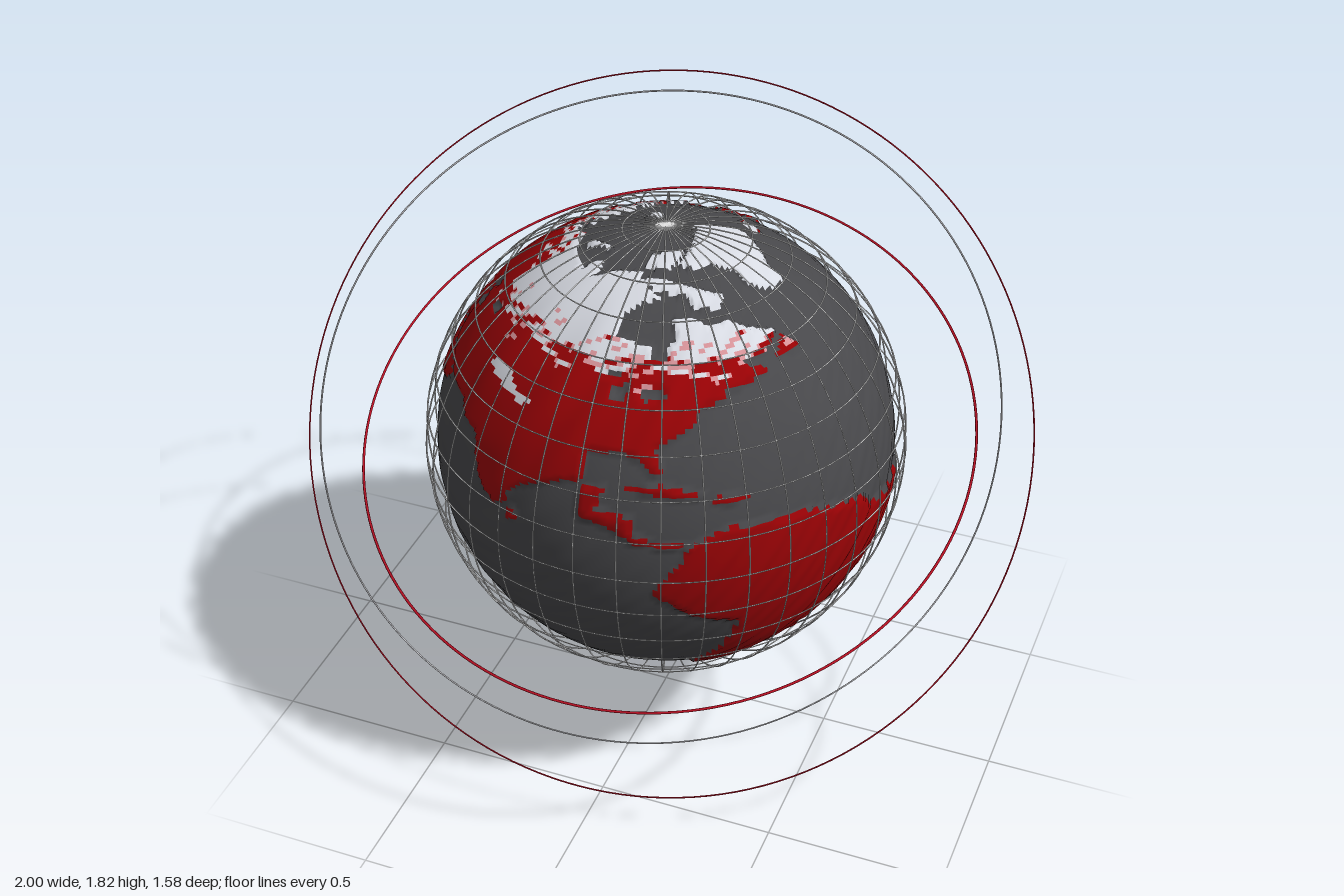
import * as THREE from 'three';

const CENTER_Y = 0.915, OCEAN_R = 0.634, LAND_R = 0.642, CAGE_R = 0.666;
const mat = (name, color) => Object.assign(new THREE.MeshStandardMaterial({ color }), { name });

// Coastlines as lon, lat pairs; the half map from -90 to 90 degrees wraps the whole globe
const LAND = {
  northAmerica: [-91,72,-85,70,-81,68,-86,66,-91,62,-91,57,-85,55.5,-82,55,-82,52,-79,51.5,-79,55,-77,57,-78,62,
    -73,62,-69,59,-65,60,-62,57,-56,53,-60,50,-66,50,-65,48,-61,46,-66,44,-70,43.5,-70,41.5,-74,40.5,-76,36,
    -81,31.5,-80,26,-81,25.5,-83,29,-85,30,-91,29.5],
  centralAmerica: [-91,14,-91,18.5,-90,21,-87,21.5,-88,16,-83.5,15,-83.5,11,-81,9,-77.5,8.5,-78,7.3,-83,8.3,
    -86,11.5,-88,13],
  baffin: [-90,73,-80,73.5,-72,71,-62,66.5,-65,63,-72,64.5,-73,68,-82,70,-89,71],
  ellesmere: [-90,77,-80,76,-70,79.5,-62,82.5,-75,83,-90,81.5],
  newfoundland: [-59,47.7,-53,46.8,-55.5,51.3],
  cuba: [-84.5,22,-80,23.2,-74.5,20.3,-77.5,19.8],
  hispaniola: [-74,18.3,-73,19.8,-68.5,18.5,-71,17.8],
  southAmerica: [-77,8,-72,12,-62,10.7,-52,5,-50,0,-44,-2.5,-37,-4.5,-35,-7,-39,-13,-39,-18,-41,-22,-48,-26,
    -49,-29,-54,-34.5,-58,-34.5,-57,-37.5,-62,-39,-65,-42,-66,-46,-68,-50,-68.5,-53,-65,-55,-71,-54.5,-75,-50,
    -74,-42,-73,-37,-71.5,-30,-70.3,-18,-76,-14,-81,-6,-80,-2,-77.5,4],
  africa: [-6,35.8,10,37.3,11,33.5,19,30.3,22,32.8,32,31.2,32.5,29.8,35.5,24,37.3,20.5,39,15.5,43,11.8,51.2,12,
    46,3,40,-3,39,-7,40.5,-15,35,-20,35.5,-24,32.8,-26,32,-29,27,-33.7,20,-34.8,18,-32,15,-27,11.8,-17,13.5,-9,
    9,-1,9.5,4,4.5,6.3,-2,4.8,-7.5,4.4,-13,8.5,-17,14.5,-16.5,20,-13,27.5,-9.5,30.5],
  madagascar: [44,-25,43.5,-17,49.3,-12,50.3,-16,47,-25],
  // Europe and north Asia, down to the 43rd parallel
  northEurasia: [-9,43,-1.5,43.5,-1.5,46.5,-4.7,48.4,1.5,50,4,52,8.5,54,8,57,10.5,57.5,10.5,54.3,19,54.5,21.5,57,
    24,58,23.5,59.3,30,60,22,60.3,21.5,63,25.5,65,22,65.8,17.5,62,18.5,60,16.5,56.5,13,55.5,11,59,5.5,58.8,5,62,
    13,66,19,70,28,71,41,67.5,33,66.7,38,64.3,44,66.5,44,68.5,54,68.5,60,69,68,68.5,67,71.5,70,73,73,71,73,68,
    78,72.3,81,73.5,91,75.5,91,43,40,43,37.5,44.7,39,47.2,34.5,46,33.5,44.5,30.5,46.2,28,43,16,43,13.5,45.5,
    12.3,45,13.5,43],
  iberia: [-9,43,-9.3,40,-9,37,-5.5,36,-2,36.8,-0.5,38,0,40,3.5,43,3,44,-2,44],
  italy: [8.5,44.3,10.5,43,12.5,41.5,15.6,40,16,38,17,39.5,18.4,40,14,42.3,13.5,43.2],
  balkans: [15,43.5,19,42,19.5,40,22.5,36.5,24,38,23,40.3,26,40.8,28.5,41.3,28,43.5],
  southAsia: [40,43.2,91,43.2,91,22.5,87,21,82,16.5,80,13,79.5,10,77.5,8,75,12,73,17,72.5,21,69,22.3,66.5,25,
    57.3,25.7,56,27,50.5,30,48,30,50,26.5,54,24.2,56.2,26,59.8,22.5,55,17.5,45,12.8,42.5,16.5,39,21.5,34.8,28.3,
    34.5,31.3,36,36,30.5,36.5,27.3,37,26.3,40,29,41.2,35,42,41.5,41.5],
  sriLanka: [79.8,6,81.8,7,80.2,9.6],
  britain: [-5,50,1,51,0,53,-2,56,-2,57.5,-4,58.5,-6,56.5,-3,54,-4.5,52.5],
  ireland: [-10,52,-6.5,52.2,-6,54.5,-8,55.2,-10,54],
  iceland: [-22,64,-18,63.5,-14,65,-16,66.4,-23,66],
};
const ICE = {
  greenland: [-73,78,-60,82,-35,83.5,-15,81.5,-20,76,-22,70.5,-32,68,-40,65,-43,60,-49,61.5,-53,66,-51,70,
    -57,75.5,-68,76],
  svalbard: [12,78,17,76.7,26,80,12,79.8],
  novayaZemlya: [52,71,57,71,60,75,68,76.8,60,76.3,54,73.5],
  pamir: [69,37.5,73,35.5,78,34,80,35.5,75,37,74,39.5,70,39.5],
  caucasus: [39,39.5,43,38,47,36.5,47,38.5,45,41,41,41.5],
  antarctica: [-91,-73,-75,-73,-67,-68,-58,-64,-62,-68,-62,-74,-50,-77.5,-35,-78,-20,-74,-5,-71.5,15,-70.5,
    35,-69.5,50,-67.5,70,-69.5,73,-71,80,-68,91,-67.5,91,-91,-91,-91],
};
const SEAS = {
  caspian: [47,45,51,47,53,45,51,43,53.5,40,54,37,50,37.3,49,41],
  aral: [58.5,44,61,44,61,46.5,58.5,46],
  westLakes: [-88,42,-86,42,-85,46,-88,45],
  northLake: [-91,46.8,-85,46.8,-88,48.5],
  eastLakes: [-83,42,-79,43,-80,45.5,-84,45.5],
};

const inside = (p, x, y) => {
  let hit = false;
  for (let i = 0, j = p.length - 2; i < p.length; j = i, i += 2) {
    if ((p[i + 1] > y) !== (p[j + 1] > y) &&
      x < (p[j] - p[i]) * (y - p[i + 1]) / (p[j + 1] - p[i + 1]) + p[i]) hit = !hit;
  }
  return hit;
};
const inAny = (set, x, y) => Object.values(set).some(p => inside(p, x, y));

// Smooth rolling noise, roughly -1 to 1
const noise = (x, y) => (Math.sin(x * 0.9 + 2 * Math.sin(y * 0.6)) + Math.sin(y * 1.1 + 2 * Math.sin(x * 0.45))
  + Math.sin(x * 2.1 - y * 1.7)) / 3;

// Surface class: 0 ocean, 1 land, 2 snow, 3 thin snow
function surfaceAt(lon, lat) {
  if (inAny(ICE, lon, lat)) return 2;
  if (!inAny(LAND, lon, lat) || inAny(SEAS, lon, lat)) return 0;
  // Snow line and width of the thin snow, by region
  const [line, rim] = lon < -50 ? [49.5, 2.5] : lon < 20 ? [61, 1] : lon < 56 ? [62, 1] : [49.5, 1.2];
  const depth = lat - line + 7 * noise(lon * 0.55, lat * 1.1);
  return depth > rim ? 2 : depth > 0 ? 3 : 1;
}

// Globe surface: one relief grid, split into a mesh for each kind of surface
function buildGlobe(materials) {
  const W = 300, H = 160, pos = [], index = [[], [], [], []];
  for (let j = 0; j <= H; j++) {
    for (let i = 0; i < W; i++) {
      const lat = -90 + 180 * j / H, lon = -90 + 180 * i / W;
      const a = i / W * Math.PI * 2, b = lat * Math.PI / 180;
      const land = surfaceAt(lon, lat) > 0;
      const fade = Math.cos(b);
      const bump = noise(Math.cos(a) * fade * 24 + lat * 0.2, Math.sin(a) * fade * 24 - lat * 0.23);
      const r = (land ? LAND_R : OCEAN_R) + bump * (land ? 0.005 : 0.0025) * fade;
      pos.push(r * fade * Math.sin(a), r * Math.sin(b), r * fade * Math.cos(a));
    }
  }
  for (let j = 0; j < H; j++) {
    for (let i = 0; i < W; i++) {
      const kind = surfaceAt(-90 + 180 * (i + 0.5) / W, -90 + 180 * (j + 0.5) / H);
      const k = (i + 1) % W, a = j * W + i, b = j * W + k, c = b + W, d = a + W;
      index[kind].push(a, b, c, a, c, d);
    }
  }
  const whole = new THREE.BufferGeometry();
  whole.setAttribute('position', new THREE.Float32BufferAttribute(pos, 3));
  whole.setIndex(index.flat());
  whole.computeVertexNormals();
  const globe = new THREE.Group();
  globe.name = 'globe';
  ['ocean', 'land', 'snow', 'thinSnow'].forEach((name, n) => {
    const g = new THREE.BufferGeometry();
    g.setAttribute('position', whole.attributes.position);
    g.setAttribute('normal', whole.attributes.normal);
    g.setIndex(index[n]);
    const mesh = new THREE.Mesh(g, materials[n]);
    mesh.name = name;
    globe.add(mesh);
  });
  return globe;
}

// Wire cage of meridians and parallels, ten degrees apart
function buildCage(material) {
  const cage = new THREE.Group(), wire = 0.0022;
  cage.name = 'gridCage';
  const circle = new THREE.TorusGeometry(CAGE_R, wire, 4, 96);
  for (let i = 0; i < 18; i++) {
    const m = new THREE.Mesh(circle, material);
    m.name = 'meridian';
    m.rotation.y = i * Math.PI / 18;
    cage.add(m);
  }
  for (let d = -80; d <= 80; d += 10) {
    const b = d * Math.PI / 180;
    const p = new THREE.Mesh(new THREE.TorusGeometry(CAGE_R * Math.cos(b), wire, 4, 96), material);
    p.name = 'parallel';
    p.rotation.x = Math.PI / 2;
    p.position.y = CAGE_R * Math.sin(b);
    cage.add(p);
  }
  return cage;
}

// Orbit ring facing along a given axis
function buildRing(name, radius, tube, axis, material) {
  const ring = new THREE.Mesh(new THREE.TorusGeometry(radius, tube, 6, 160), material);
  ring.name = name;
  ring.quaternion.setFromUnitVectors(new THREE.Vector3(0, 0, 1), new THREE.Vector3(...axis).normalize());
  return ring;
}

export function createModel() {
  const model = new THREE.Group();
  model.name = 'globeWithOrbits';
  const body = new THREE.Group();
  body.name = 'body';
  body.position.y = CENTER_Y;
  const ringRed = mat('ring red', 0xbc1024), ringGrey = mat('ring grey', 0xc8c8cc);
  body.add(
    buildGlobe([mat('ocean grey', 0x48484b), mat('land red', 0x9a0205), mat('snow white', 0xd8dbe3),
      mat('snow pink', 0xd8949a)]),
    buildCage(mat('grid white', 0xffffff)),
    buildRing('innerOrbit', 0.858, 0.0038, [0.035, 1, 0.43], ringRed),
    buildRing('outerOrbit', 1.015, 0.0022, [0.19, 0.61, 0.77], ringRed),
    buildRing('steepOrbit', 0.954, 0.0025, [0.44, 0.30, 0.845], ringGrey),
  );
  model.add(body);
  return model;
}
